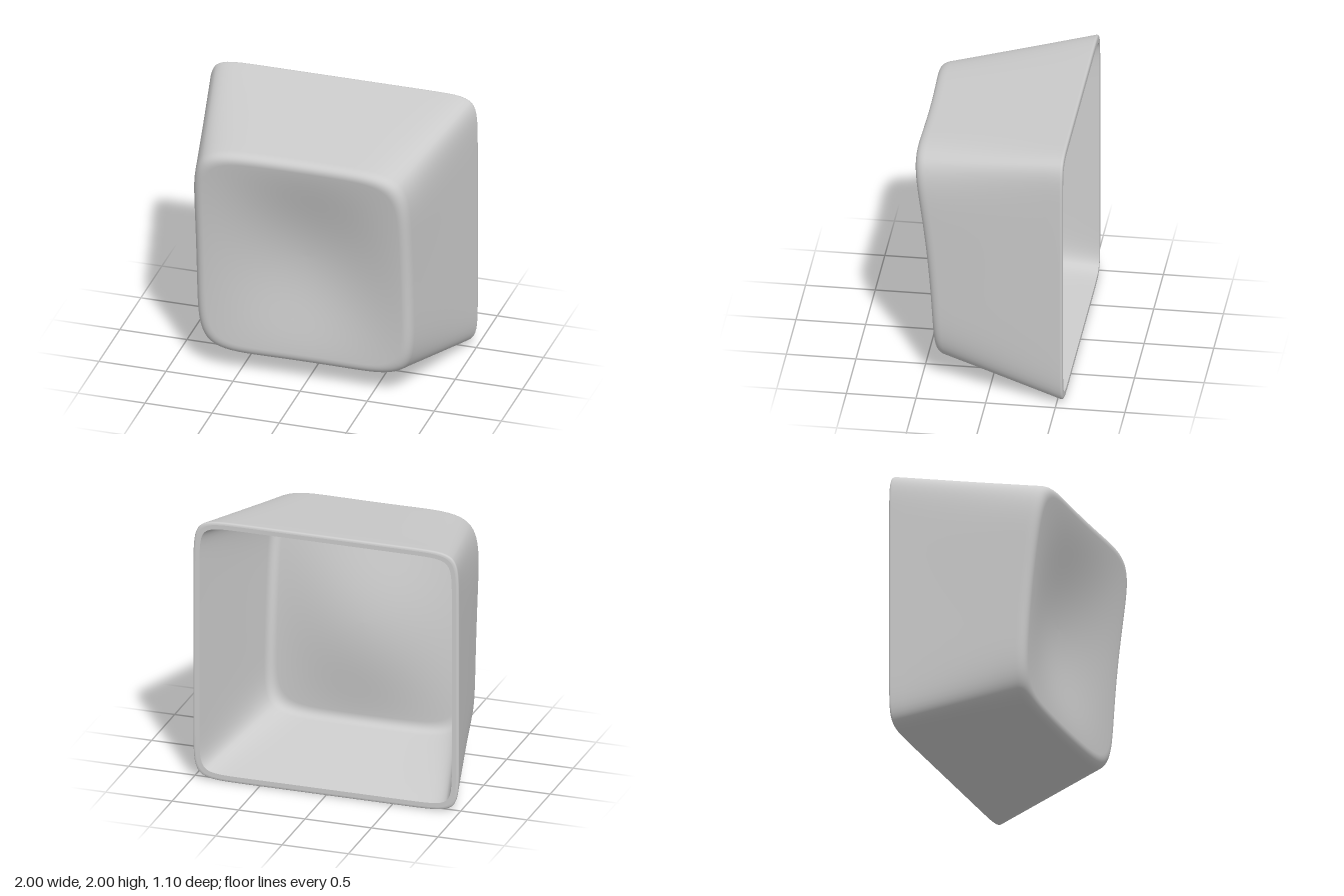
import * as THREE from 'three';

const CY = 1.003; // height of the centre of the dished face

// Height of the scooped, tilted front face
function faceZ(x, y) {
  const u = 1 - (x / 0.78) ** 2, v = 1 - ((y - CY) / 0.83) ** 2;
  return 0.494 + 0.1 * (y - 1) - 0.036 * v - 0.028 * u - 0.1 * (u * v) ** 2;
}

// Soft-cornered square (superellipse of power n), counter-clockwise seen from the front
function outline(hx, y0, y1, n, zAt) {
  const pts = [], N = 32;
  for (let k = 0; k < 4; k++) {
    for (let i = 0; i < N; i++) {
      // points gather towards the corners
      const s = Math.sin((i / N - 0.5) * Math.PI);
      const f = (1 + Math.abs(s) ** n) ** (-1 / n);
      const [px, py] = [[1, s], [-s, 1], [-1, -s], [s, -1]][k];
      const x = px * f * hx, y = (y0 + y1) / 2 + py * f * (y1 - y0) / 2;
      pts.push(new THREE.Vector3(x, y, zAt(x, y)));
    }
  }
  return pts;
}

const mix = (A, B, t) => A.map((p, i) => p.clone().lerp(B[i], t));
const bend = (A, C, B, t) => mix(mix(A, C, t), mix(C, B, t), t);

// Skin a list of closed rings
function skin(name, rings, material) {
  const n = rings[0].length, index = [];
  for (let i = 0; i < rings.length - 1; i++) {
    for (let j = 0; j < n; j++) {
      const k = (j + 1) % n;
      const a = i * n + j, b = i * n + k, c = a + n, d = b + n;
      index.push(a, b, d, a, d, c);
    }
  }
  const geo = new THREE.BufferGeometry().setFromPoints(rings.flat());
  geo.setIndex(index);
  geo.computeVertexNormals();
  const mesh = new THREE.Mesh(geo, material);
  mesh.name = name;
  return mesh;
}

// Rings running along the wall, over the rounded rim and into the dish
function shellRings(back, rim, start, dz) {
  const shrink = s => rim.map(p => {
    const x = p.x * s, y = CY + (p.y - CY) * s;
    return new THREE.Vector3(x, y, faceZ(x, y) + dz);
  });
  const rings = [];
  const wallEnd = mix(back, rim, 0.925), faceStart = shrink(0.92);
  for (let i = 0; i <= 10; i++) rings.push(mix(back, rim, start + (0.925 - start) * i / 10));
  for (let i = 1; i <= 10; i++) rings.push(bend(wallEnd, rim, faceStart, i / 10));
  for (let i = 1; i <= 18; i++) rings.push(shrink(0.92 * (1 - i / 18)));
  return rings;
}

export function createModel() {
  const group = new THREE.Group();
  group.name = 'keycap';
  const material = new THREE.MeshStandardMaterial({ color: 0xcccccc });
  const atBack = () => -0.55;

  // Outer shell with a small rounded back edge
  const back = outline(1.003, -0.003, 2.003, 14, atBack);
  const rim = outline(0.795, 0.16, 1.846, 6.5, faceZ);
  const lipOuter = outline(0.982, 0.018, 1.982, 14, atBack);
  const wallStart = mix(back, rim, 0.02);
  const edge = [0, 0.25, 0.5, 0.75].map(t => bend(lipOuter, back, wallStart, t));
  group.add(skin('outerShell', [...edge, ...shellRings(back, rim, 0.02, 0)], material));

  // Flat lip around the open back
  const lipInner = outline(0.95, 0.05, 1.95, 16, atBack);
  group.add(skin('backLip', [lipInner, lipOuter], material));

  // Hollow inside, facing backwards
  const innerRim = outline(0.745, 0.21, 1.796, 7, (x, y) => faceZ(x, y) - 0.05);
  group.add(skin('innerShell', shellRings(lipInner, innerRim, 0, -0.05).reverse(), material));

  return group;
}
